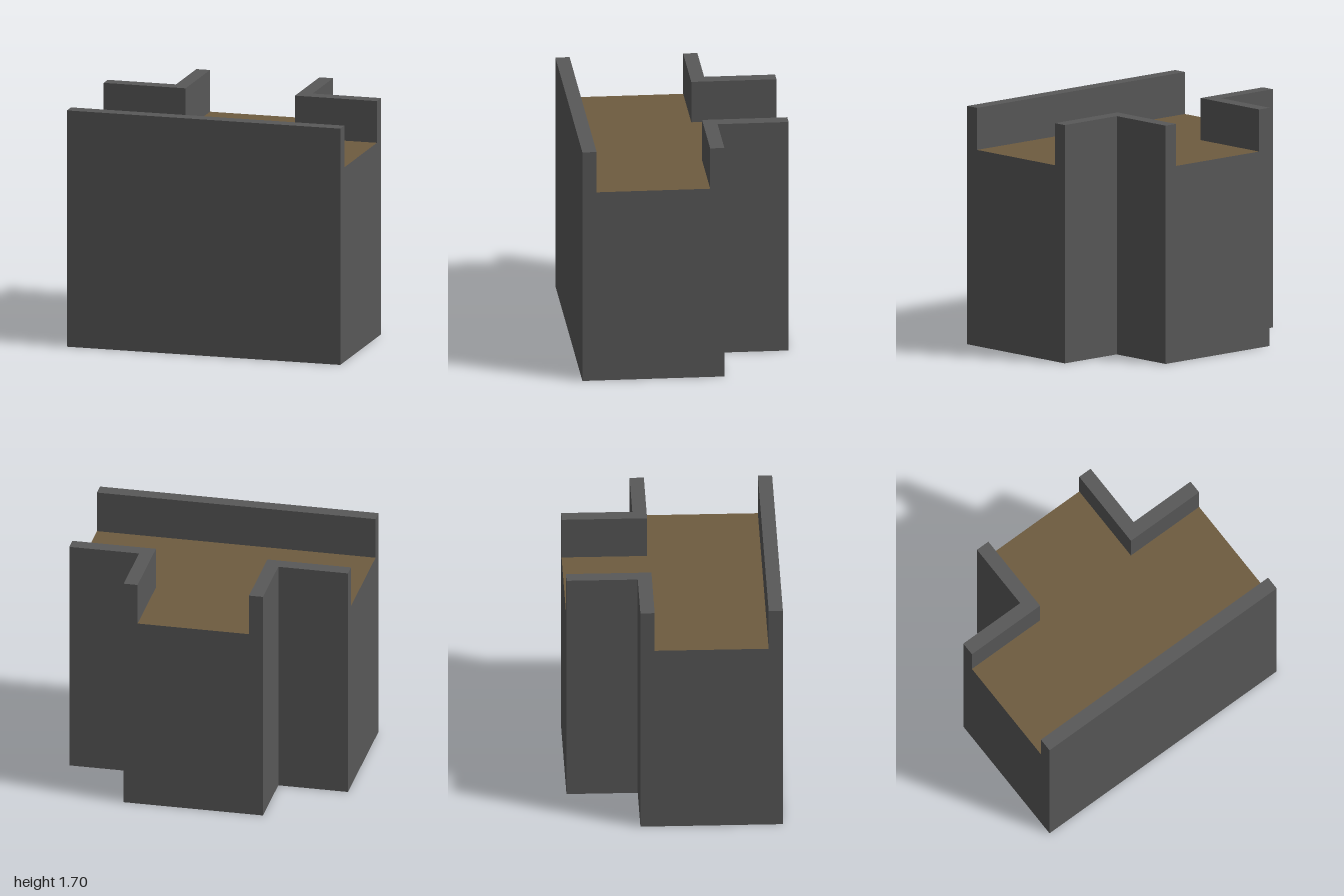
import * as THREE from 'three';

const FLOOR = 1.4, TOP = 1.7;

export function createModel() {
  const group = new THREE.Group();
  const stone = new THREE.MeshStandardMaterial({ color: 0x585858, side: THREE.DoubleSide });
  stone.name = 'stone';
  const wood = new THREE.MeshStandardMaterial({ color: 0x6e5c40, side: THREE.DoubleSide });
  wood.name = 'wood';

  const add = (name, geometry, material) => {
    const mesh = new THREE.Mesh(geometry, material);
    mesh.name = name;
    group.add(mesh);
    return mesh;
  };

  // Thin upright wall running between two plan points (x, z), its front to the right of the run
  const wall = (name, [x1, z1], [x2, z2]) => {
    const mesh = add(name, new THREE.PlaneGeometry(Math.hypot(x2 - x1, z2 - z1), FLOOR), stone);
    mesh.position.set((x1 + x2) / 2, FLOOR / 2, (z1 + z2) / 2);
    mesh.rotation.y = Math.atan2(-(z2 - z1), x2 - x1);
  };

  // Shape in plan: z is negated so that the extrusion can be laid flat
  const plan = (points) => new THREE.Shape(points.map(([x, z]) => new THREE.Vector2(x, -z)));

  // Solid parapet raised from a plan outline
  const parapet = (name, points) => {
    const geometry = new THREE.ExtrudeGeometry(plan(points), { depth: TOP - FLOOR, bevelEnabled: false });
    geometry.rotateX(-Math.PI / 2).translate(0, FLOOR, 0);
    add(name, geometry, stone);
  };

  // Outer walls of the T-shaped block, open underneath
  wall('frontWall', [-1, 0.75], [1, 0.75]);
  wall('backWall', [0.5, -0.75], [-0.5, -0.75]);
  wall('leftWall', [1, 0.75], [1, -0.25]);
  wall('rightWall', [-1, -0.25], [-1, 0.75]);
  wall('leftShoulderWall', [1, -0.25], [0.4, -0.25]);
  wall('rightShoulderWall', [-0.4, -0.25], [-1, -0.25]);
  wall('leftStemWall', [0.5, -0.25], [0.5, -0.75]);
  wall('rightStemWall', [-0.5, -0.75], [-0.5, -0.25]);

  // Inner partitions
  wall('leftPartition', [0.4, 0.75], [0.4, -0.25]);
  wall('rightPartition', [-0.4, -0.25], [-0.4, 0.75]);

  // Walkway floor between the parapets
  const floor = new THREE.ShapeGeometry(plan([
    [-1, 0.65], [1, 0.65], [1, -0.15], [0.4, -0.15],
    [0.4, -0.75], [-0.4, -0.75], [-0.4, -0.15], [-1, -0.15],
  ]));
  floor.rotateX(-Math.PI / 2).translate(0, FLOOR, 0);
  add('walkwayFloor', floor, wood);

  // Straight front parapet and mirrored L-shaped back parapets
  parapet('frontParapet', [[-1, 0.75], [1, 0.75], [1, 0.65], [-1, 0.65]]);
  for (const [name, s] of [['leftBackParapet', 1], ['rightBackParapet', -1]]) {
    parapet(name, [
      [1, -0.15], [1, -0.25], [0.5, -0.25], [0.5, -0.75], [0.4, -0.75], [0.4, -0.15],
    ].map(([x, z]) => [s * x, z]));
  }

  return group;
}
